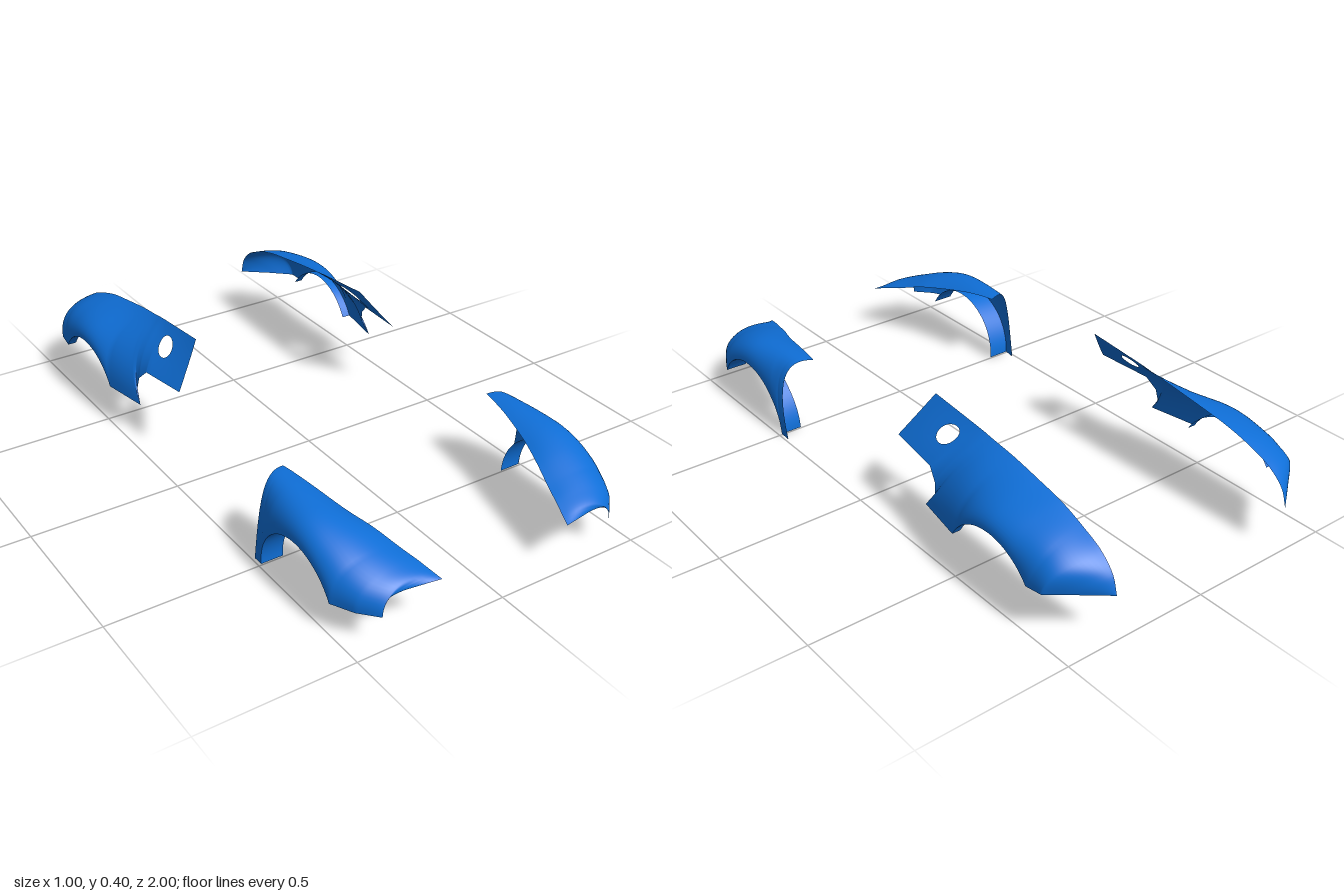
import * as THREE from 'three';

const paint = new THREE.MeshStandardMaterial({ color: 0x0f6fd8, side: THREE.DoubleSide });
const SUB = 10; // columns between stations
const ROWS = 16; // rows from inner edge to lower edge
const lerp = THREE.MathUtils.lerp;

// Each station is a cross-section: inner edge, two curve controls, lower edge.
// A lower edge of [x, degrees] lies on the wheel arch.
const frontFender = {
  name: 'frontFender',
  arch: { z: 0.692, y: 0.012, r: 0.193 },
  lip: 0.075,
  stations: [
    [[0.38, 0.285, 0.445], [0.45, 0.30, 0.46], [0.50, 0.27, 0.51], [0.49, 0.008, 0.46]],
    [[0.374, 0.284, 0.475], [0.45, 0.305, 0.49], [0.505, 0.275, 0.525], [0.492, 180]],
    [[0.358, 0.276, 0.56], [0.43, 0.31, 0.56], [0.503, 0.285, 0.55], [0.497, 140]],
    [[0.327, 0.253, 0.69], [0.40, 0.30, 0.69], [0.50, 0.29, 0.69], [0.498, 95]],
    [[0.297, 0.235, 0.78], [0.39, 0.283, 0.79], [0.50, 0.262, 0.79], [0.498, 60]],
    [[0.267, 0.207, 0.87], [0.38, 0.255, 0.88], [0.50, 0.23, 0.87], [0.497, 30]],
    [[0.251, 0.194, 0.92], [0.36, 0.23, 0.93], [0.47, 0.20, 0.94], [0.46, 0.108, 0.93]],
    [[0.238, 0.181, 0.96], [0.33, 0.205, 0.97], [0.41, 0.18, 0.985], [0.41, 0.108, 0.985]],
    [[0.23, 0.173, 0.985], [0.30, 0.185, 0.98], [0.40, 0.17, 0.98], [0.41, 0.14, 0.977]],
    [[0.225, 0.168, 1.0], [0.28, 0.167, 0.99], [0.34, 0.164, 0.978], [0.385, 0.16, 0.968]],
  ],
};

const tip = [0.335, 0.165, -1];
const rearFender = {
  name: 'rearFender',
  arch: { z: -0.65, y: 0.05, r: 0.195 },
  lip: 0.03,
  flip: true,
  // round opening, as grid cells: columns u0..u1, rows v0..v1
  hole: { u0: 4, u1: 10, v0: 3, v1: 11, ru: 1.9, rv: 3.3 },
  stations: [
    [[0.32, 0.41, -0.17], [0.35, 0.367, -0.15], [0.385, 0.32, -0.13], [0.42, 0.275, -0.11]],
    [[0.32, 0.392, -0.37], [0.355, 0.353, -0.355], [0.405, 0.315, -0.33], [0.44, 0.265, -0.30]],
    [[0.32, 0.388, -0.41], [0.36, 0.35, -0.40], [0.425, 0.31, -0.37], [0.45, 0.23, -0.337]],
    [[0.32, 0.385, -0.43], [0.365, 0.345, -0.42], [0.445, 0.305, -0.40], [0.455, 0.19, -0.345]],
    [[0.32, 0.381, -0.46], [0.375, 0.34, -0.45], [0.465, 0.30, -0.43], [0.465, 0.145, -0.31]],
    [[0.32, 0.371, -0.54], [0.40, 0.328, -0.53], [0.495, 0.30, -0.52], [0.494, 29]],
    [[0.323, 0.352, -0.66], [0.42, 0.328, -0.655], [0.50, 0.305, -0.65], [0.498, 88]],
    [[0.326, 0.334, -0.76], [0.42, 0.32, -0.76], [0.50, 0.295, -0.755], [0.498, 120]],
    [[0.33, 0.306, -0.85], [0.42, 0.298, -0.86], [0.50, 0.27, -0.86], [0.496, 146]],
    [[0.332, 0.27, -0.93], [0.42, 0.26, -0.93], [0.49, 0.24, -0.89], [0.49, 0.163, -0.87]],
    [[0.334, 0.222, -0.98], [0.37, 0.217, -0.975], [0.42, 0.20, -0.94], [0.42, 0.165, -0.93]],
    [tip, tip, tip, tip],
  ],
};

function makeGeometry(pos, index, reverse) {
  const g = new THREE.BufferGeometry();
  g.setAttribute('position', new THREE.Float32BufferAttribute(pos, 3));
  g.setIndex(reverse ? index.slice().reverse() : index);
  g.computeVertexNormals();
  return g;
}

function makeFender(spec, side) {
  const { stations, arch, hole } = spec;
  const last = stations.length - 1;
  const rails = [0, 1, 2].map(k =>
    new THREE.CatmullRomCurve3(stations.map(s => new THREE.Vector3(...s[k]))));

  const onArch = (x, deg) => {
    const a = THREE.MathUtils.degToRad(deg);
    return new THREE.Vector3(x, arch.y + arch.r * Math.sin(a), arch.z + arch.r * Math.cos(a));
  };
  const lowerPoint = b => (b.length === 2 ? onArch(...b) : new THREE.Vector3(...b));
  const lowerEdge = u => {
    const i = Math.min(Math.floor(u), last - 1), f = u - i;
    const a = stations[i][3], b = stations[i + 1][3];
    if (a.length === 2 && b.length === 2) return onArch(lerp(a[0], b[0], f), lerp(a[1], b[1], f));
    return lowerPoint(a).lerp(lowerPoint(b), f);
  };
  // Column and row numbers may be fractional
  const surface = (col, row) => {
    const u = col / SUB;
    const p = rails.map(r => r.getPoint(u / last));
    return new THREE.CubicBezierCurve3(...p, lowerEdge(u)).getPoint(row / ROWS);
  };

  // Curved body skin
  const pos = [], index = [];
  const add = p => pos.push(side * p.x, p.y, p.z) / 3 - 1;
  const node = (i, j) => i * (ROWS + 1) + j;
  const cols = last * SUB;
  for (let i = 0; i <= cols; i++) for (let j = 0; j <= ROWS; j++) add(surface(i, j));
  for (let i = 0; i < cols; i++) for (let j = 0; j < ROWS; j++) {
    if (hole && i >= hole.u0 && i < hole.u1 && j >= hole.v0 && j < hole.v1) continue;
    const a = node(i, j), b = node(i + 1, j), c = node(i + 1, j + 1), d = node(i, j + 1);
    index.push(a, b, c, a, c, d);
  }

  // Ring of faces from the skipped cells to the round opening
  if (hole) {
    const { u0, u1, v0, v1, ru, rv } = hole;
    const border = [];
    for (let i = u0; i < u1; i++) border.push([i, v0]);
    for (let j = v0; j < v1; j++) border.push([u1, j]);
    for (let i = u1; i > u0; i--) border.push([i, v1]);
    for (let j = v1; j > v0; j--) border.push([u0, j]);
    const cu = (u0 + u1) / 2, cv = (v0 + v1) / 2;
    const rim = border.map(([i, j]) => {
      const a = Math.atan2((j - cv) / (v1 - v0), (i - cu) / (u1 - u0));
      return add(surface(cu + ru * Math.cos(a), cv + rv * Math.sin(a)));
    });
    border.forEach(([i, j], k) => {
      const n = (k + 1) % border.length;
      const a = node(i, j), b = node(...border[n]);
      index.push(a, b, rim[n], a, rim[n], rim[k]);
    });
  }
  const reverse = (side < 0) !== Boolean(spec.flip);
  const skin = new THREE.Mesh(makeGeometry(pos, index, reverse), paint);
  skin.name = spec.name + 'Skin';

  // Flange turned inward along the wheel arch
  const lipPos = [], lipIndex = [];
  const onCurve = stations.map((s, i) => (s[3].length === 2 ? i : -1)).filter(i => i >= 0);
  const start = onCurve[0] * SUB, end = onCurve[onCurve.length - 1] * SUB;
  for (let i = start; i <= end; i++) {
    const p = lowerEdge(i / SUB), k = (i - start) * 2;
    lipPos.push(side * p.x, p.y, p.z, side * (p.x - spec.lip), p.y, p.z);
    if (i < end) lipIndex.push(k, k + 2, k + 3, k, k + 3, k + 1);
  }
  const lip = new THREE.Mesh(makeGeometry(lipPos, lipIndex, reverse), paint);
  lip.name = spec.name + 'ArchLip';

  const group = new THREE.Group();
  group.name = spec.name + (side > 0 ? 'Left' : 'Right');
  group.add(skin, lip);
  return group;
}

export function createModel() {
  const model = new THREE.Group();
  model.name = 'fenderSet';
  for (const spec of [frontFender, rearFender])
    for (const side of [1, -1]) model.add(makeFender(spec, side));
  return model;
}
